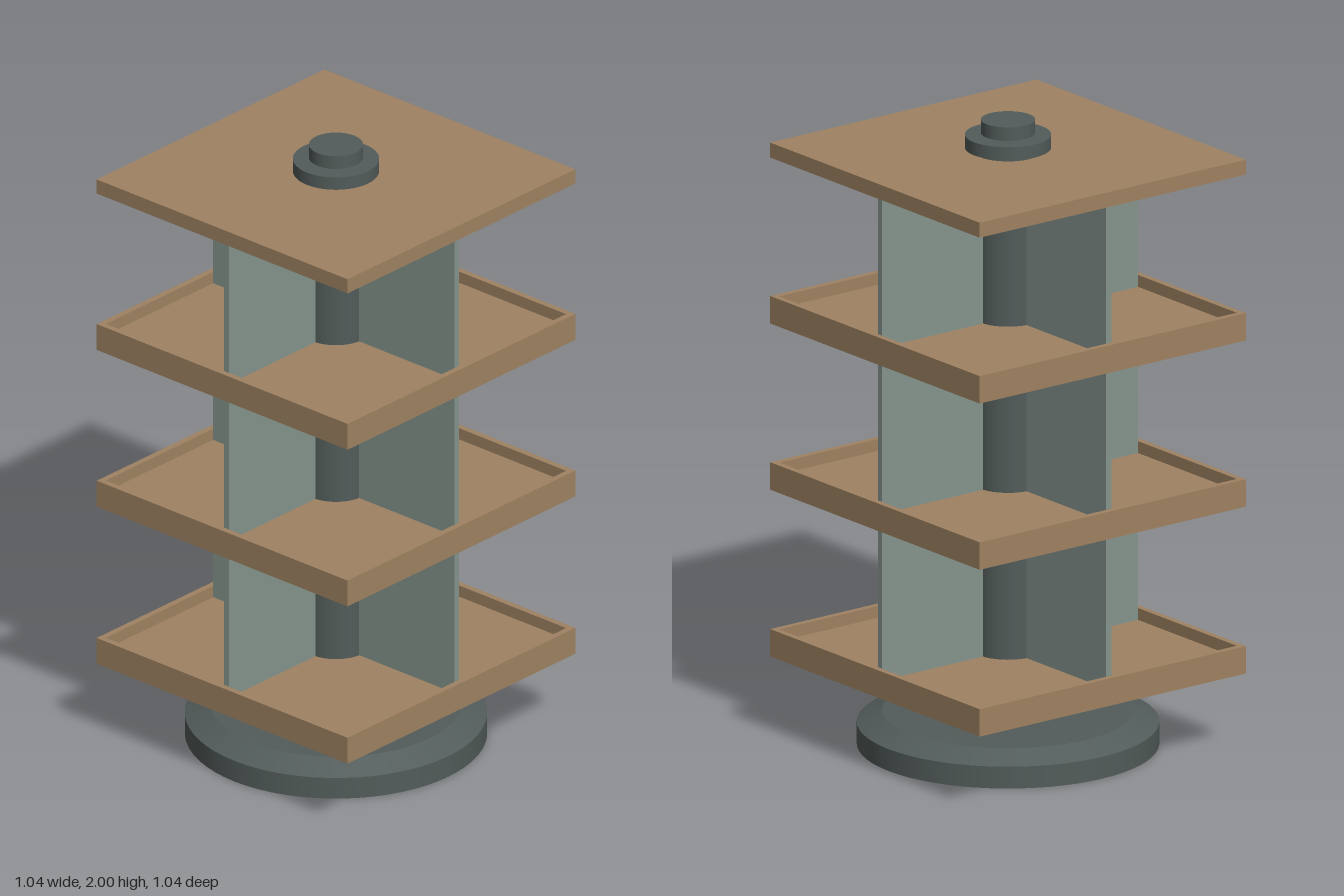
import * as THREE from 'three';

export function createModel() {
  const model = new THREE.Group();
  const wood = new THREE.MeshStandardMaterial({ name: 'wood', color: 0x9f8262 });
  const metal = new THREE.MeshStandardMaterial({ name: 'dark metal', color: 0x525c5a });
  const panel = new THREE.MeshStandardMaterial({ name: 'grey green panel', color: 0x85958e });

  const add = (parent, name, geometry, material, x, y, z) => {
    const mesh = new THREE.Mesh(geometry, material);
    mesh.name = name;
    mesh.position.set(x, y, z);
    parent.add(mesh);
  };
  // Box and round part standing between heights y0 and y1
  const box = (parent, name, w, d, y0, y1, material, x = 0, z = 0) =>
    add(parent, name, new THREE.BoxGeometry(w, y1 - y0, d), material, x, (y0 + y1) / 2, z);
  const round = (name, rBottom, rTop, y0, y1) =>
    add(model, name, new THREE.CylinderGeometry(rTop, rBottom, y1 - y0, 64), metal, 0, (y0 + y1) / 2, 0);

  // Base, hub, central post and top fitting
  round('baseDisc', 0.463, 0.463, 0, 0.07);
  round('baseBevel', 0.463, 0.385, 0.07, 0.105);
  round('hub', 0.14, 0.14, 0.105, 0.228);
  round('hubBearing', 0.132, 0.132, 0.228, 0.25);
  round('post', 0.105, 0.105, 0.25, 1.91);
  round('topCollar', 0.132, 0.132, 1.91, 1.952);
  round('capNeck', 0.07, 0.07, 1.952, 1.957);
  round('cap', 0.083, 0.083, 1.957, 2);

  // Three lipped shelves, each with crossed dividers reaching the next board
  const size = 1.036, lip = 0.02, board = 0.05, height = 0.088;
  const inner = size - 2 * lip;
  const levels = [0.25, 0.785, 1.318, 1.85];
  for (let i = 0; i < 3; i++) {
    const y = levels[i];
    const shelf = new THREE.Group();
    shelf.name = 'shelf' + (i + 1);
    model.add(shelf);
    box(shelf, 'shelfBoard', size, size, y, y + board, wood);
    for (const s of [-1, 1]) {
      const p = s * (size - lip) / 2;
      box(shelf, 'sideLip', lip, size, y + board, y + height, wood, p, 0);
      box(shelf, 'endLip', inner, lip, y + board, y + height, wood, 0, p);
      // Divider wings run from inside the post to the lips
      const half = inner / 2, c = s * half / 2;
      box(shelf, 'dividerAcross', half, 0.02, y + board, levels[i + 1], panel, c, 0);
      box(shelf, 'dividerDeep', 0.02, half, y + board, levels[i + 1], panel, 0, c);
    }
  }

  // Plain top board
  box(model, 'topBoard', size, size, 1.85, 1.898, wood);
  return model;
}
